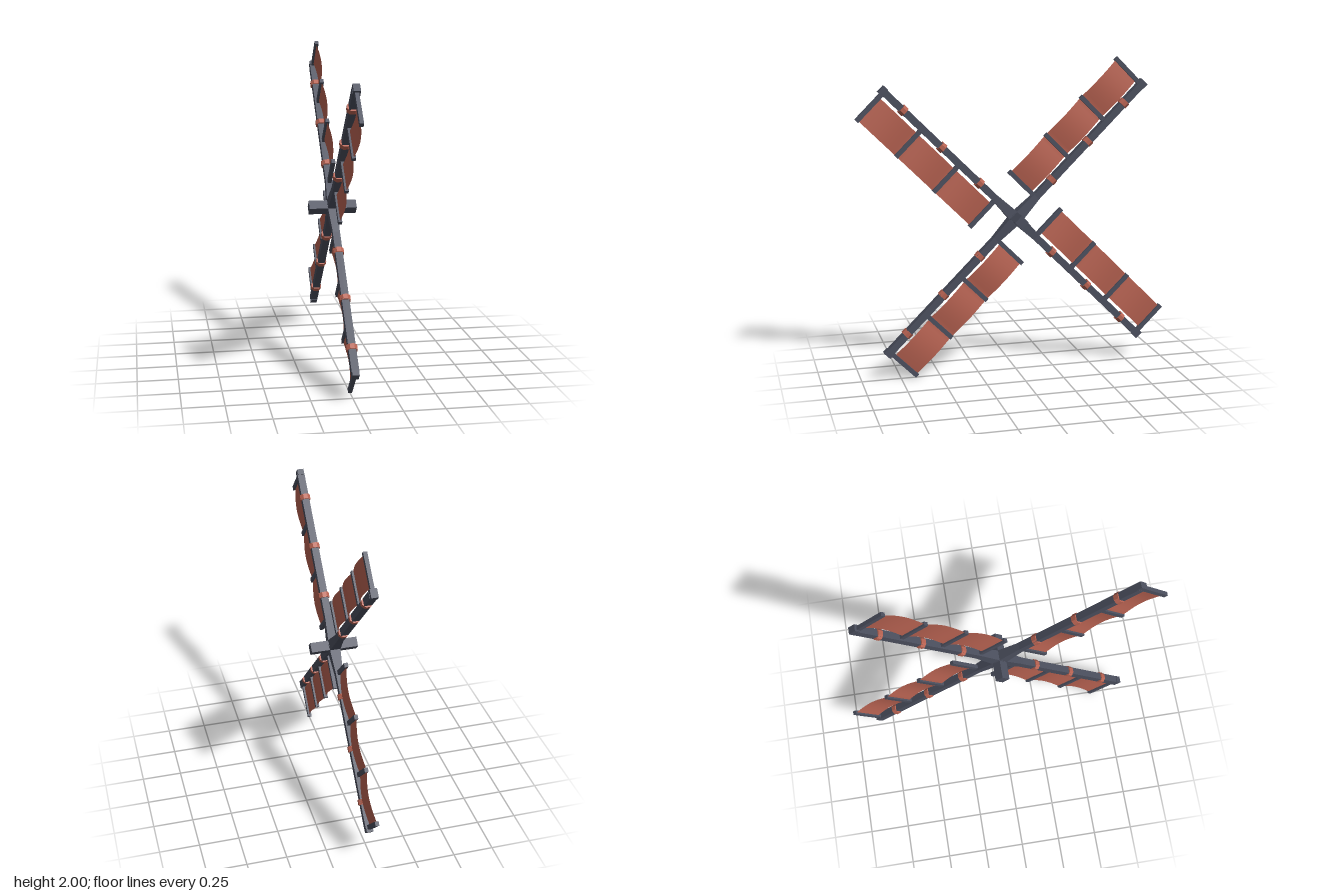
import * as THREE from 'three';

const slate = new THREE.MeshStandardMaterial({ color: 0x4c505f });
slate.name = 'slate wood';
slate.flatShading = true;
const canvas = new THREE.MeshStandardMaterial({ color: 0xb96352, side: THREE.DoubleSide });
canvas.name = 'red sailcloth';
const band = new THREE.MeshStandardMaterial({ color: 0xb96352 });
band.name = 'red band';
band.flatShading = true;

function add(parent, name, geometry, material, x = 0, y = 0, z = 0) {
  const mesh = new THREE.Mesh(geometry, material);
  mesh.name = name;
  mesh.position.set(x, y, z);
  parent.add(mesh);
  return mesh;
}

// Cross bars sit at four even stations along the arm
const FIRST = 0.182, STEP = 0.325, PANELS = 3;

// Cloth that billows towards +x between each pair of bars
function sailGeometry() {
  const length = STEP * PANELS, width = 0.19;
  const g = new THREE.PlaneGeometry(width, length, 1, PANELS * 8);
  g.rotateY(Math.PI / 2);
  g.translate(0, FIRST + length / 2, 0.042 + width / 2);
  const p = g.attributes.position;
  for (let i = 0; i < p.count; i++) {
    const t = (p.getY(i) - FIRST) / STEP;
    p.setX(i, -0.003 + 0.019 * Math.abs(Math.sin(Math.PI * t)));
  }
  g.computeVertexNormals();
  return g;
}

// One blade pointing up +y, with its sail on the +z side
function createBlade() {
  const blade = new THREE.Group();
  blade.name = 'blade';
  add(blade, 'arm', new THREE.BoxGeometry(0.046, 1.16, 0.044), slate, 0, 0.58, 0);
  add(blade, 'armTip', new THREE.BoxGeometry(0.042, 0.036, 0.054), slate, 0, 1.169, 0);

  // Square tapered root, thickest at the hub
  const root = new THREE.CylinderGeometry(0.022 * Math.SQRT2, 0.036 * Math.SQRT2, 0.2, 4);
  root.rotateY(Math.PI / 4);
  add(blade, 'armRoot', root, slate, 0, 0.1, 0);

  // Bars holding the cloth; the end bars reach a little further
  for (let i = 0; i <= PANELS; i++) {
    const end = i === 0 || i === PANELS ? 0.242 : 0.236;
    add(blade, 'crossBar', new THREE.BoxGeometry(0.024, 0.028, end - 0.015), slate,
      0, FIRST + STEP * i + (i === PANELS ? 0.001 : 0), (end + 0.015) / 2);
  }
  add(blade, 'sail', sailGeometry(), canvas);

  // Eight-sided bands around the arm
  for (const y of [0.332, 0.665, 0.998]) {
    const g = new THREE.CylinderGeometry(0.0355, 0.0355, 0.034, 8);
    g.rotateY(Math.PI / 8);
    add(blade, 'armBand', g, band, 0, y, 0).scale.z = 0.93;
  }
  return blade;
}

export function createModel() {
  const model = new THREE.Group();
  model.name = 'windmillSails';
  const rotor = new THREE.Group();
  rotor.name = 'rotor';
  rotor.position.y = 1;
  model.add(rotor);

  // Square axle turned on its edge
  add(rotor, 'axle', new THREE.BoxGeometry(0.3, 0.062, 0.062), slate).rotation.x = Math.PI / 4;

  for (let i = 0; i < 4; i++) {
    const blade = createBlade();
    blade.rotation.x = Math.PI / 4 + (i * Math.PI) / 2;
    rotor.add(blade);
  }
  return model;
}
